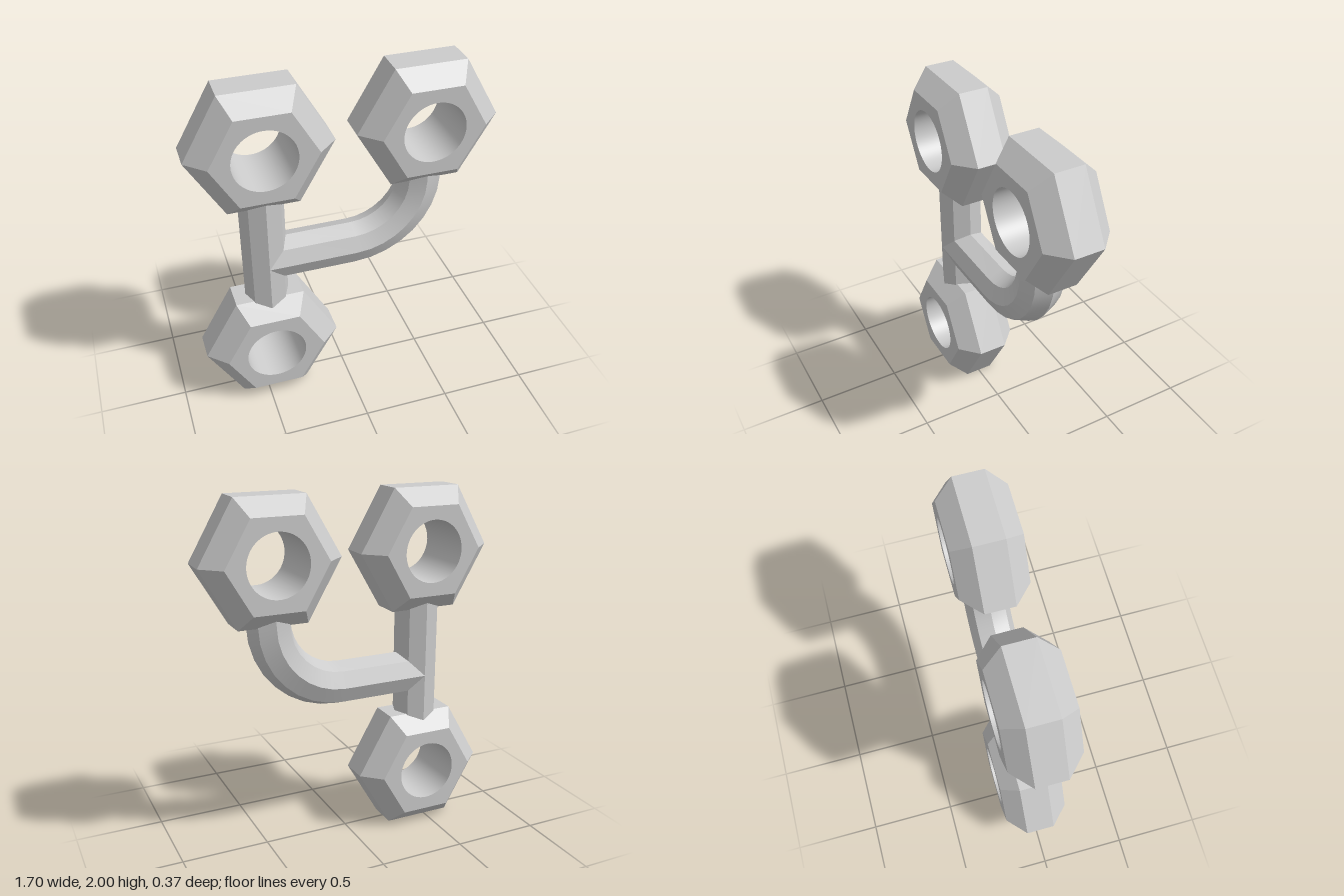
import * as THREE from 'three';
import { mergeGeometries, toCreasedNormals } from 'three/addons/utils/BufferGeometryUtils.js';

const X = 0.453, LOW = 0.342, HIGH = 1.658;   // ring centres
const HEX = 0.395, FACE = 0.287, HOLE = 0.174; // ring radii
const DEPTH = 0.185, EDGE = 0.083;             // half depths: face and bevel start
const BAR = 0.127, ARM_Y = 0.922, BEND = 0.4;

const material = new THREE.MeshStandardMaterial({ color: 0xcccccc });
const crease = (g) => toCreasedNormals(g, Math.PI / 6);
const lathe = (profile, sides) => new THREE.LatheGeometry(
  profile.map(([r, y]) => new THREE.Vector2(r, y)), sides, Math.PI / 2).rotateX(Math.PI / 2);

// Bevelled hexagon with a round bore
function ringGeometry() {
  const shell = lathe([[FACE, -DEPTH], [HEX, -EDGE], [HEX, EDGE], [FACE, DEPTH]], 6);
  const bore = lathe([[HOLE, DEPTH], [HOLE, -DEPTH]], 64);
  const outline = new THREE.Shape(Array.from({ length: 6 }, (_, i) =>
    new THREE.Vector2(FACE * Math.cos(i * Math.PI / 3), FACE * Math.sin(i * Math.PI / 3))));
  outline.holes.push(new THREE.Path().absarc(0, 0, HOLE, 0, Math.PI * 2, true));
  const front = new THREE.ShapeGeometry(outline, 32).translate(0, 0, DEPTH);
  const back = front.clone().rotateY(Math.PI);
  return mergeGeometries([shell, bore, front, back].map(crease));
}

// Octagonal bar swept through frames [x, y, heading] in the xy plane
function barGeometry(frames) {
  const n = frames.length - 1;
  const g = new THREE.CylinderGeometry(BAR, BAR, 1, 8, n);
  const p = g.attributes.position;
  for (let i = 0; i < p.count; i++) {
    const [x, y, a] = frames[Math.round((p.getY(i) + 0.5) * n)];
    const side = p.getX(i);
    p.setXYZ(i, x + side * Math.sin(a), y - side * Math.cos(a), p.getZ(i));
  }
  return crease(g);
}

export function createModel() {
  const model = new THREE.Group();
  const add = (name, geometry, x = 0, y = 0) => {
    const mesh = new THREE.Mesh(geometry, material);
    mesh.name = name;
    mesh.position.set(x, y, 0);
    model.add(mesh);
  };

  // Three hexagonal rings
  const ring = ringGeometry();
  add('lowerRing', ring, -X, LOW);
  add('upperRightRing', ring, -X, HIGH);
  add('upperLeftRing', ring, X, HIGH);

  // Upright between the two rings on one side
  const up = Math.PI / 2;
  add('stem', barGeometry([[-X, LOW + 0.24, up], [-X, HIGH - 0.24, up]]));

  // Side arm: straight, quarter bend, then up into the ring
  const frames = [[-X, ARM_Y, 0]];
  for (let i = 0; i <= 8; i++) {
    const a = up * i / 8;
    frames.push([X - BEND + BEND * Math.sin(a), ARM_Y + BEND * (1 - Math.cos(a)), a]);
  }
  frames.push([X, HIGH - 0.24, up]);
  add('curvedArm', barGeometry(frames));

  return model;
}
